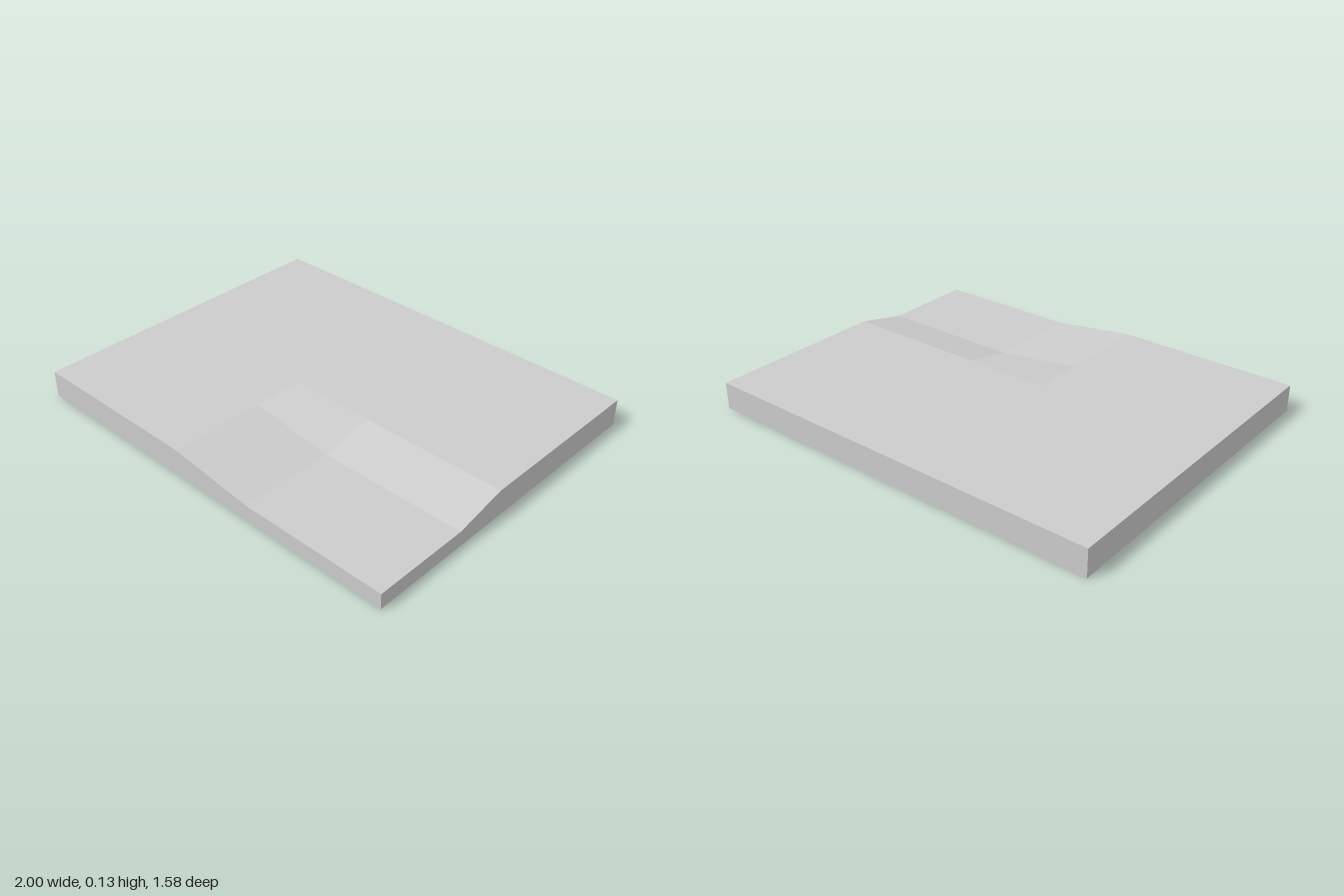
import * as THREE from 'three';

// Grid lines of the slab and its two surface levels
const XS = [-1, -0.13, 0.29, 1];
const ZS = [-0.79, 0.08, 0.33, 0.79];
const HIGH = 0.13, LOW = 0.075;

// Only the front left corner of the slab is lowered
const point = (i, j) => new THREE.Vector3(XS[i], i >= 2 && j >= 2 ? LOW : HIGH, ZS[j]);
const foot = (p) => new THREE.Vector3(p.x, 0, p.z);

// Geometry from four-cornered faces, each split along b-d with one shared normal
function facesGeometry(quads) {
  const positions = [], normals = [];
  for (const [a, b, c, d] of quads) {
    const n = c.clone().sub(a).cross(d.clone().sub(b)).normalize();
    for (const p of [a, b, d, b, c, d]) {
      positions.push(p.x, p.y, p.z);
      normals.push(n.x, n.y, n.z);
    }
  }
  const geometry = new THREE.BufferGeometry();
  geometry.setAttribute('position', new THREE.Float32BufferAttribute(positions, 3));
  geometry.setAttribute('normal', new THREE.Float32BufferAttribute(normals, 3));
  return geometry;
}

export function createModel() {
  const group = new THREE.Group();
  group.name = 'steppedSlab';
  const concrete = new THREE.MeshStandardMaterial({ color: 0xcccccc });
  concrete.name = 'concrete grey';

  const add = (name, quads) => {
    const mesh = new THREE.Mesh(facesGeometry(quads), concrete);
    mesh.name = name;
    group.add(mesh);
  };

  // Upper surface with the sunken corner and its ramps
  const top = [];
  for (let i = 0; i < 3; i++) {
    for (let j = 0; j < 3; j++) {
      top.push([point(i, j), point(i, j + 1), point(i + 1, j + 1), point(i + 1, j)]);
    }
  }
  add('topSurface', top);

  // Side walls following the upper edge
  const walls = [];
  const wall = (p, q) => walls.push([foot(p), foot(q), q, p]);
  for (let k = 0; k < 3; k++) {
    wall(point(k, 3), point(k + 1, 3));
    wall(point(3, k + 1), point(3, k));
    wall(point(k + 1, 0), point(k, 0));
    wall(point(0, k), point(0, k + 1));
  }
  add('sideWalls', walls);

  // Flat underside
  add('underside', [[point(0, 0), point(3, 0), point(3, 3), point(0, 3)].map(foot)]);
  return group;
}
